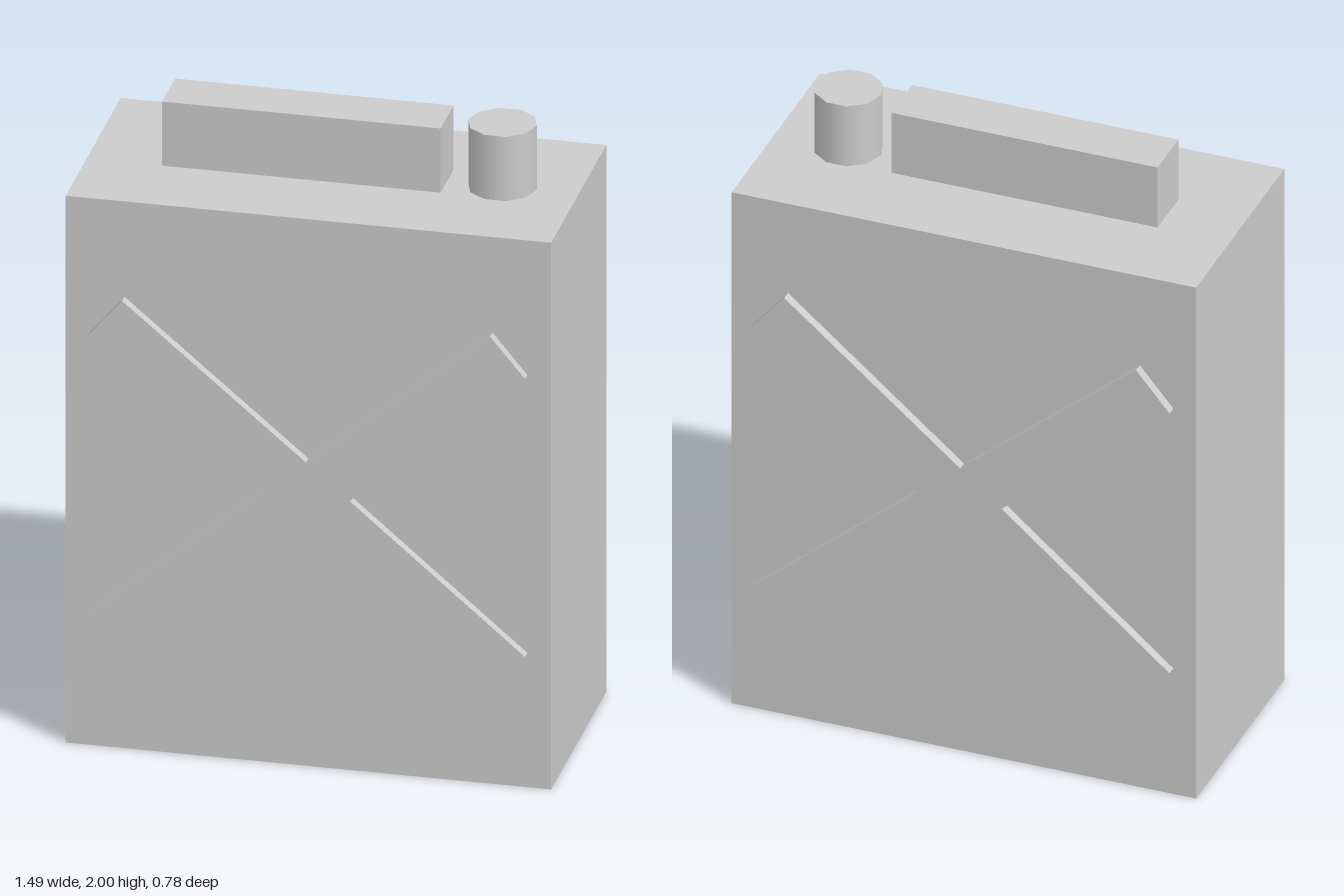
import * as THREE from 'three';

export function createModel() {
  const group = new THREE.Group();
  const grey = new THREE.MeshStandardMaterial({ color: 0xcccccc });
  grey.name = 'grey';

  const add = (name, geometry, x, y, z) => {
    const mesh = new THREE.Mesh(geometry, grey);
    mesh.name = name;
    mesh.position.set(x, y, z);
    group.add(mesh);
    return mesh;
  };

  const bodyHeight = 1.79, halfDepth = 0.361;
  const topHeight = 2 - bodyHeight;

  // Can body
  add('body', new THREE.BoxGeometry(1.486, bodyHeight, halfDepth * 2), 0, bodyHeight / 2, 0);

  // Carry handle and ten-sided spout cap
  add('handle', new THREE.BoxGeometry(0.852, topHeight, 0.17), -0.086, bodyHeight + topHeight / 2, 0);
  const cap = new THREE.CylinderGeometry(0.105, 0.105, topHeight, 10).rotateY(Math.PI / 2);
  add('spoutCap', cap, 0.51, bodyHeight + topHeight / 2, 0);

  // Raised X outline: one quarter, mirrored around the centre
  const cross = new THREE.Shape([
    [0.133, 0], [0.67, 0.455], [0.563, 0.583],
    [0, 0.112], [-0.563, 0.583], [-0.67, 0.455],
    [-0.133, 0], [-0.67, -0.455], [-0.563, -0.583],
    [0, -0.112], [0.563, -0.583], [0.67, -0.455],
  ].map(([x, y]) => new THREE.Vector2(x, y)));
  const crossGeometry = new THREE.ExtrudeGeometry(cross, { depth: 0.04, bevelEnabled: false });

  // One rib on the front, one on the back
  add('frontCross', crossGeometry, 0, bodyHeight / 2, 0.352);
  add('backCross', crossGeometry, 0, bodyHeight / 2, -0.352).rotation.y = Math.PI;

  return group;
}
